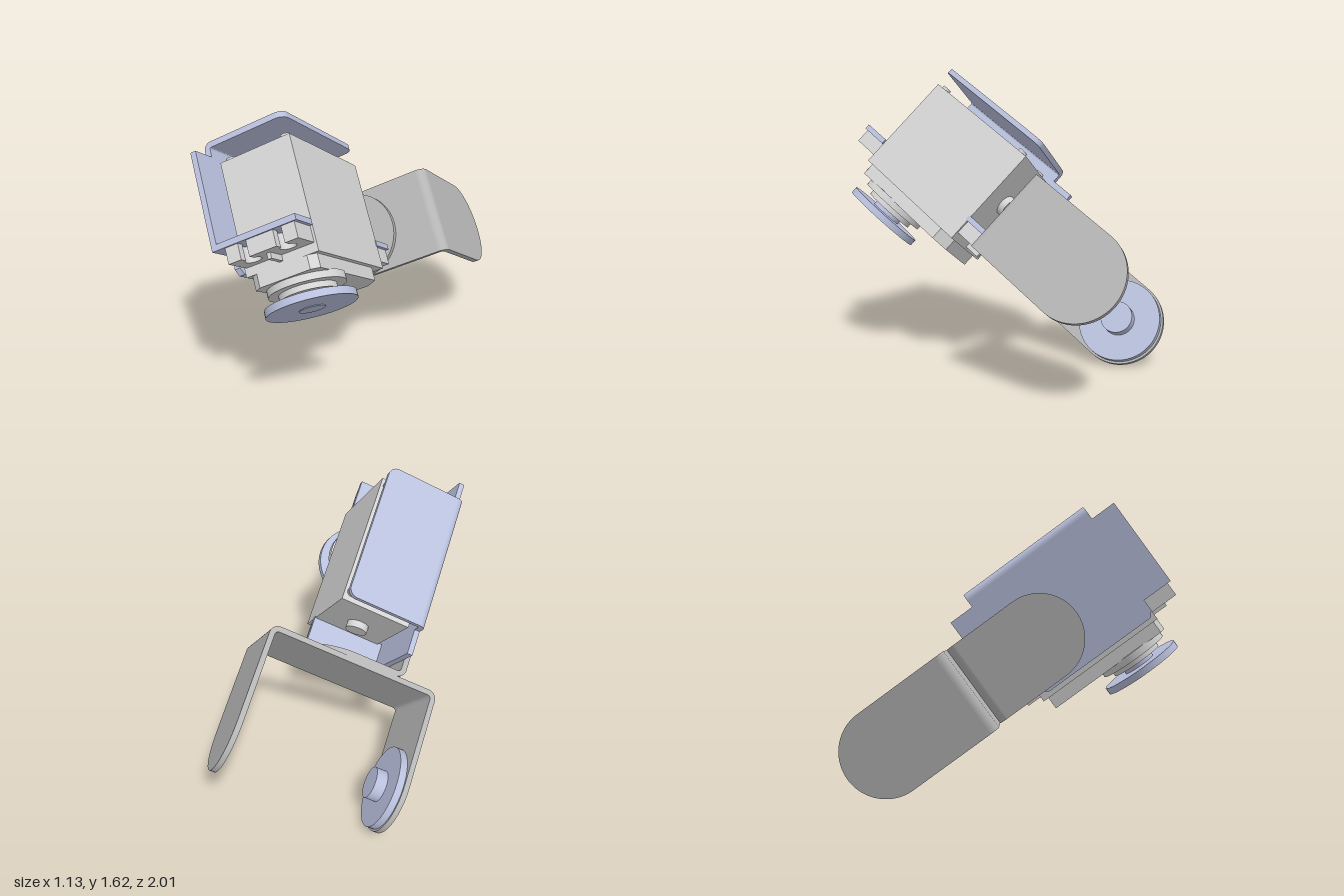
import * as THREE from 'three';
import { toCreasedNormals } from 'three/addons/utils/BufferGeometryUtils.js';

const mat = (name, color) => {
  const m = new THREE.MeshStandardMaterial({ color });
  m.name = name;
  return m;
};

export function createModel() {
  const blue = mat('pale blue', 0xbac1de);
  const grey = mat('bracket grey', 0xb6b6b6);
  const light = mat('servo grey', 0xd4d4d4);

  // Assembly axes: x across the servo, y away from the output horn, z along the servo
  const X = new THREE.Vector3(0.808, 0.46, -0.368).normalize();
  const Z = new THREE.Vector3(0.095, 0.511, 0.855);
  Z.addScaledVector(X, -Z.dot(X)).normalize();
  const Y = new THREE.Vector3().crossVectors(Z, X);
  const assembly = new THREE.Group();
  assembly.name = 'assembly';
  assembly.quaternion.setFromRotationMatrix(new THREE.Matrix4().makeBasis(X, Y, Z));

  const add = (name, geo, material) => {
    const m = new THREE.Mesh(geo, material);
    m.name = name;
    assembly.add(m);
    return m;
  };
  const box = (name, material, x0, x1, y0, y1, z0, z1) =>
    add(name, new THREE.BoxGeometry(x1 - x0, y1 - y0, z1 - z0), material)
      .position.set((x0 + x1) / 2, (y0 + y1) / 2, (z0 + z1) / 2);

  // Extrude a shape along one axis; shape axes are (y,z) for 'x', (z,x) for 'y', (x,y) for 'z'
  const ex = new THREE.Vector3(1, 0, 0), ey = new THREE.Vector3(0, 1, 0), ez = new THREE.Vector3(0, 0, 1);
  const bases = { x: [ey, ez, ex], y: [ez, ex, ey], z: [ex, ey, ez] };
  const plate = (name, material, shape, axis, from, to) => {
    const g = new THREE.ExtrudeGeometry(shape, { depth: to - from, bevelEnabled: false, curveSegments: 24 });
    g.translate(0, 0, from);
    g.applyMatrix4(new THREE.Matrix4().makeBasis(...bases[axis]));
    return add(name, toCreasedNormals(g, 0.5), material);
  };
  const cyl = (name, material, axis, r, from, to, a, b) => {
    const g = new THREE.CylinderGeometry(r, r, to - from, 48);
    const mid = (from + to) / 2;
    if (axis === 'x') g.rotateZ(-Math.PI / 2).translate(mid, a, b);
    else if (axis === 'y') g.translate(a, mid, b);
    else g.rotateX(Math.PI / 2).translate(a, b, mid);
    return add(name, g, material);
  };
  const polygon = (pts) => new THREE.Shape(pts.map((p) => new THREE.Vector2(...p)));
  // Quarter ring joining two sheets at a bend
  const bend = (u, v, start, rOut = 0.05, t = 0.03) => {
    const s = new THREE.Shape();
    s.absarc(u, v, rOut, start, start + Math.PI / 2, false);
    s.absarc(u, v, rOut - t, start + Math.PI / 2, start, true);
    return s;
  };

  const cx = 0.397, cy = 0.556, y0 = 0.316, y1 = 0.796, R = 0.24, Q = Math.PI / 2;

  // Wide fork bracket: base, two bends, two round-ended arms
  const forkZ = -0.29;
  const forkArm = new THREE.Shape();
  forkArm.moveTo(y1, 0.197);
  forkArm.lineTo(y0, 0.197);
  forkArm.absarc(cy, forkZ, R, Math.PI, 2 * Math.PI, false);
  box('forkBase', grey, -0.04, 0.834, y0, y1, 0.217, 0.247);
  plate('forkArmRight', grey, forkArm, 'x', -0.09, -0.06);
  plate('forkArmLeft', grey, forkArm, 'x', 0.854, 0.884);
  plate('forkBendRight', grey, bend(0.197, -0.04, -Q), 'y', y0, y1);
  plate('forkBendLeft', grey, bend(0.197, 0.834, 0), 'y', y0, y1);

  // Idler disc on the inside of one arm
  cyl('idlerDisc', blue, 'x', 0.228, -0.06, -0.02, cy, forkZ);
  cyl('idlerHub', blue, 'x', 0.088, -0.02, 0.045, cy, forkZ);

  // Angle bracket: round-ended base leg and round-ended arm beside the servo
  const leg = new THREE.Shape();
  leg.moveTo(0.165, y0);
  leg.absarc(cx, cy, R, -Q, Q, false);
  leg.lineTo(0.165, y1);
  plate('angleBase', grey, leg, 'z', 0.247, 0.277);
  const angleArm = new THREE.Shape();
  angleArm.moveTo(y0, 0.297);
  angleArm.lineTo(y1, 0.297);
  angleArm.absarc(cy, 0.677, R, 0, Math.PI, false);
  plate('angleArm', grey, angleArm, 'x', 0.115, 0.145);
  plate('angleBend', grey, bend(0.297, 0.165, Math.PI), 'y', y0, y1);

  // Servo cradle: stepped side sheet, top flange and two ear flanges
  const mid = 0.88;
  const half = [[0.3, 0.33], [0.33, 0.36], [0.395, 0.36], [0.395, 0.53], [0.9, 0.53], [0.9, 0.39], [0.94, 0.39]];
  plate('cradleSide', blue, polygon([
    ...half.map(([y, d]) => [y, mid - d]).reverse(),
    ...half.map(([y, d]) => [y, mid + d]),
  ].reverse()), 'x', 0.145, 0.175);
  const flange = new THREE.Shape();
  flange.moveTo(0.49, 0.185);
  flange.lineTo(1.27, 0.185);
  flange.absarc(1.22, 0.55, 0.05, 0, Q, false);
  flange.absarc(0.54, 0.55, 0.05, Q, Math.PI, false);
  plate('cradleTop', blue, flange, 'y', 0.95, 0.98);
  plate('cradleBend', blue, bend(0.185, 0.94, Q, 0.04), 'z', 0.49, 1.27);

  // Servo case, stepped lower case and end cap with cut corners
  box('servoCase', light, 0.2, 0.596, 0.27, 0.863, 0.5, 1.245);
  plate('servoGearCase', light, polygon([
    [0.53, 0.22], [1.22, 0.22], [1.25, 0.26], [1.25, 0.534], [1.22, 0.574], [0.6, 0.574], [0.53, 0.5], [0.53, 0.29],
  ]), 'y', 0.2, 0.27);
  cyl('cableExit', light, 'z', 0.06, 0.46, 0.52, cx, 0.6);

  // Ears with open screw slots, a stiffening rib and the cradle flange behind each
  for (const s of [-1, 1]) {
    const z = (d) => mid + s * d;
    const span = (a, b) => [Math.min(z(a), z(b)), Math.max(z(a), z(b))];
    box('cradleEarFlange', blue, 0.175, 0.6, 0.395, 0.425, ...span(0.37, 0.53));
    const ear = new THREE.Shape();
    ear.moveTo(z(0.36), 0.21);
    ear.lineTo(z(0.52), 0.21);
    for (const x of [cx - 0.095, cx + 0.095]) {
      ear.lineTo(z(0.52), x - 0.022);
      ear.lineTo(z(0.48), x - 0.022);
      for (let i = 0; i <= 16; i++) {
        const a = -0.6 - (i / 16) * (2 * Math.PI - 1.2);
        ear.lineTo(z(0.447 + 0.04 * Math.cos(a)), x + 0.04 * Math.sin(a));
      }
      ear.lineTo(z(0.48), x + 0.022);
      ear.lineTo(z(0.52), x + 0.022);
    }
    ear.lineTo(z(0.52), 0.584);
    ear.lineTo(z(0.36), 0.584);
    plate('servoEar', light, ear, 'y', 0.315, 0.395);
    box('earRib', light, cx - 0.01, cx + 0.01, 0.285, 0.315, ...span(0.36, 0.47));
    // Screw heads on the case cover
    for (const x of [0.245, 0.555]) cyl('coverScrew', light, 'y', 0.026, 0.86, 0.88, x, z(0.325));
  }

  // Output boss, shaft and horn
  const hz = 1.04;
  cyl('outputBoss', light, 'y', 0.195, 0.165, 0.205, cx, hz);
  cyl('outputCollar', light, 'y', 0.145, 0.135, 0.17, cx, hz);
  cyl('hornHub', blue, 'y', 0.09, 0.1, 0.14, cx, hz);
  cyl('hornDisc', blue, 'y', 0.228, 0.072, 0.11, cx, hz);
  cyl('hornCentre', blue, 'y', 0.066, 0.068, 0.08, cx, hz);

  const model = new THREE.Group();
  model.name = 'servoJoint';
  model.add(assembly);
  return model;
}
